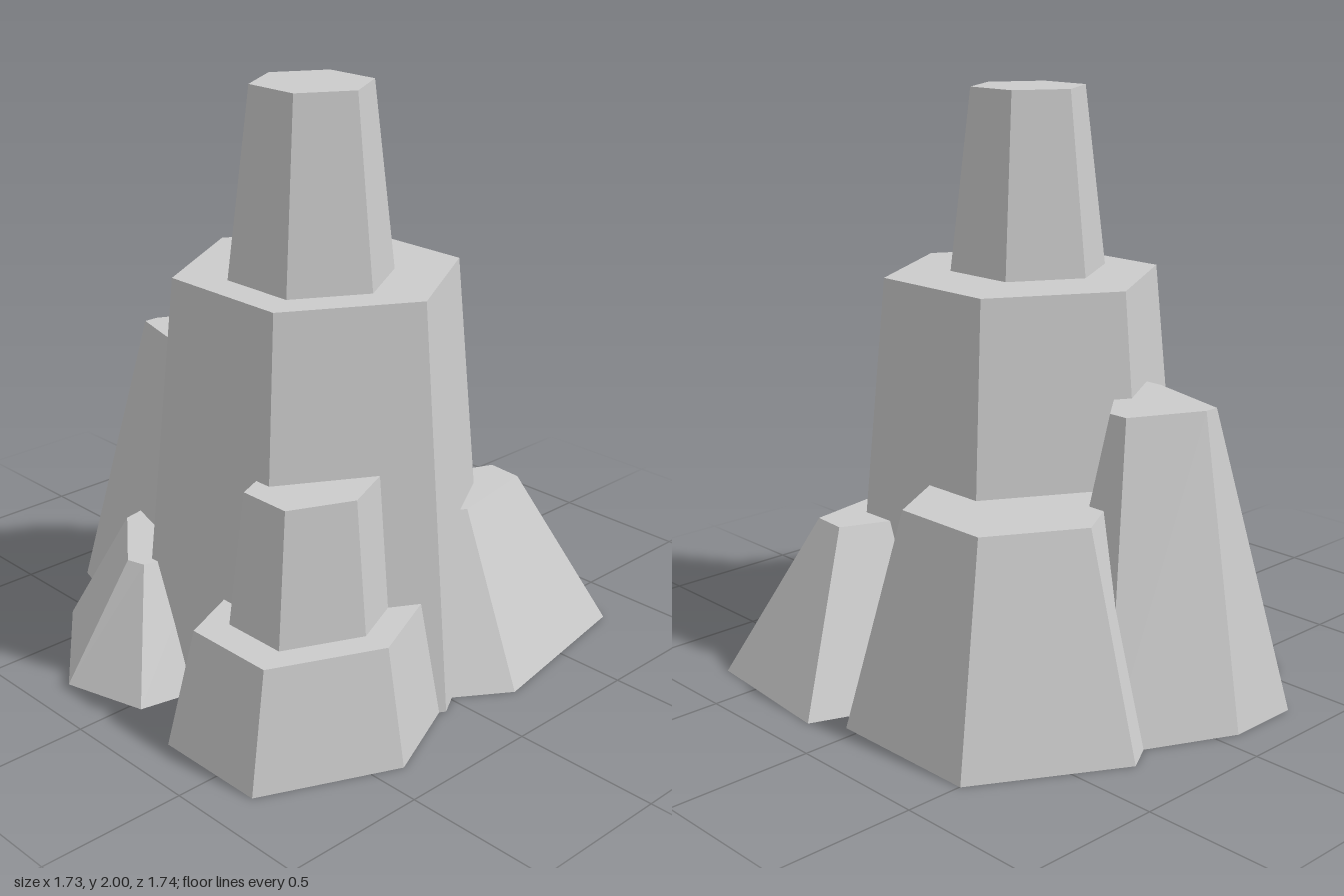
import * as THREE from 'three';

const material = new THREE.MeshStandardMaterial({ color: 0xcccccc, flatShading: true });

// Closed tapered block between two [x, z] loops, clockwise seen from above
function block(name, bottom, top, y0, y1) {
  const pos = [];
  const n = bottom.length;
  const b = bottom.map(([x, z]) => [x, y0, z]);
  const t = top.map(([x, z]) => [x, y1, z]);
  const tri = (...corners) => corners.forEach((c) => pos.push(...c));
  for (let i = 0; i < n; i++) {
    const j = (i + 1) % n;
    tri(b[i], t[i], b[j]);
    tri(t[i], t[j], b[j]);
  }
  for (let i = 1; i < n - 1; i++) {
    tri(t[0], t[i + 1], t[i]);
    tri(b[0], b[i], b[i + 1]);
  }
  const geometry = new THREE.BufferGeometry();
  geometry.setAttribute('position', new THREE.Float32BufferAttribute(pos, 3));
  geometry.computeVertexNormals();
  const mesh = new THREE.Mesh(geometry, material);
  mesh.name = name;
  return mesh;
}

// Six-sided loop with corners on the x axis; rz is the half depth
function hexagon(cx, cz, rx, rz) {
  return Array.from({ length: 6 }, (_, i) => {
    const a = (i * Math.PI) / 3;
    return [cx + rx * Math.cos(a), cz + (rz / Math.sin(Math.PI / 3)) * Math.sin(a)];
  });
}

// Tapered six-sided column: [rx, rz] at the foot and at the top
function column(name, cx, cz, foot, head, y0, y1) {
  return block(name, hexagon(cx, cz, ...foot), hexagon(cx, cz, ...head), y0, y1);
}

export function createModel() {
  const model = new THREE.Group();
  model.name = 'rockFormation';

  // Regular columns
  model.add(
    column('mainColumn', 0.125, 0.067, [0.61, 0.53], [0.478, 0.414], 0, 1.38),
    column('topColumn', 0.163, 0.131, [0.274, 0.238], [0.2, 0.173], 1.38, 2),
    column('frontLeftBase', 0.462, 0.4, [0.4, 0.45], [0.325, 0.365], 0, 0.39),
    column('frontLeftColumn', 0.46, 0.4, [0.23, 0.258], [0.185, 0.21], 0.39, 0.835),
    column('backRightColumn', -0.225, -0.32, [0.555, 0.48], [0.355, 0.308], 0, 0.73),
  );

  // Tall irregular rock leaning on the side
  model.add(block('sideRock',
    [[-0.865, 0.076], [-0.67, -0.33], [-0.367, -0.33], [-0.1, 0], [-0.1, 0.49], [-0.335, 0.49], [-0.865, 0.335]],
    [[-0.653, 0.127], [-0.533, -0.118], [-0.464, -0.118], [-0.27, 0.12], [-0.2, 0.265], [-0.335, 0.265], [-0.653, 0.178]],
    0, 1.03));

  // Low irregular rock at the front
  model.add(block('frontRock',
    [[-0.74, 0.22], [-0.1, 0.2], [0.13, 0.35], [0.04, 0.785], [-0.25, 0.865], [-0.655, 0.555]],
    [[-0.5, 0.28], [-0.2, 0.27], [-0.09, 0.4], [-0.143, 0.612], [-0.207, 0.63], [-0.47, 0.43]],
    0, 0.4));

  // Irregular rock at the back
  model.add(block('backRock',
    [[0.165, -0.87], [0.695, -0.82], [0.81, -0.19], [0.55, 0.2], [0, -0.45]],
    [[0.345, -0.58], [0.47, -0.57], [0.53, -0.24], [0.45, -0.12], [0.27, -0.4]],
    0, 0.56));

  return model;
}
